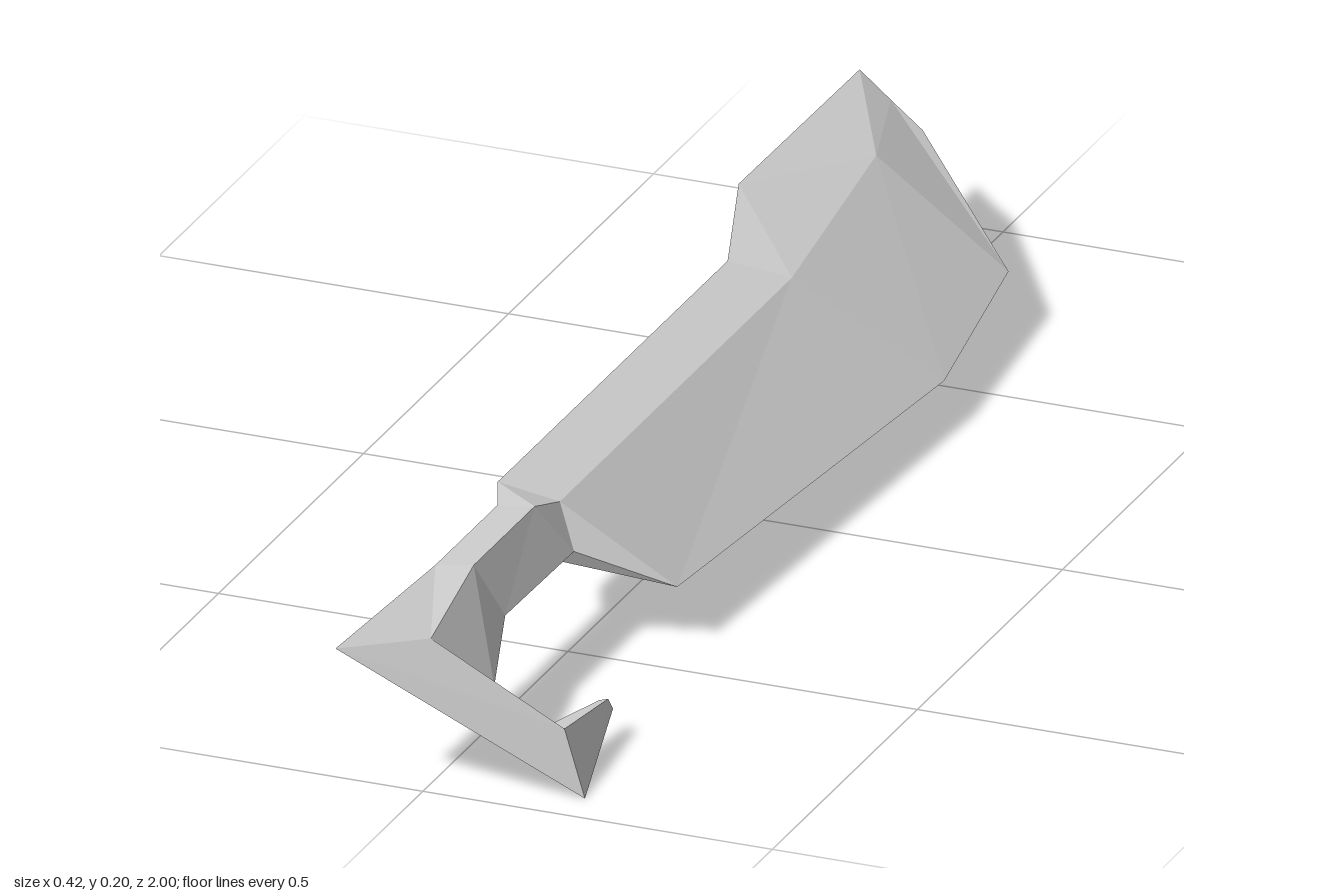
import * as THREE from 'three';

// Each section: spine-side edge, ridge centre, cutting-side edge, ridge half thickness [x, y]
const sections = [
  { outer: [-0.205, 0.2, -1], ridge: [-0.148, 0.178, -0.97], inner: [-0.09, 0.156, -0.94], half: [0, 0] },
  { outer: [-0.208, 0.2, -0.59], ridge: [-0.1, 0.16, -0.78], inner: [0.12, 0.072, -0.73], half: [0.01, 0.024] },
  { outer: [-0.145, 0.176, -0.4], ridge: [-0.063, 0.143, -0.4], inner: [0.165, 0.055, -0.4], half: [0.01, 0.024] },
  { outer: [-0.146, 0.176, 0.39], ridge: [-0.063, 0.143, 0.4], inner: [0.115, 0.072, 0.4], half: [0.01, 0.024] },
  { outer: [-0.115, 0.178, 0.465], ridge: [-0.07, 0.152, 0.47], inner: [-0.012, 0.122, 0.45], half: [0.01, 0.035] },
  { outer: [-0.115, 0.178, 0.68], ridge: [-0.07, 0.152, 0.68], inner: [-0.015, 0.122, 0.68], half: [0.01, 0.035] },
  { outer: [-0.125, 0.185, 1], ridge: [-0.04, 0.14, 0.9], inner: [0.04, 0.098, 0.85], half: [0.01, 0.035] },
  { outer: [0.207, 0, 0.94], ridge: [0.147, 0.036, 0.89], inner: [0.12, 0.056, 0.85], half: [0.01, 0.036] },
  { outer: [0.16, 0.037, 0.73], ridge: [0.15, 0.042, 0.73], inner: [0.14, 0.046, 0.73], half: [0.003, 0.008] },
];

// Diamond loop: outer edge, upper ridge, inner edge, lower ridge
function loopOf({ outer, ridge: [x, y, z], inner, half: [hx, hy] }) {
  return [outer, [x + hx, y + hy, z], inner, [x - hx, y - hy, z]];
}

// Skin a run of sections with flat facets, optionally closing the far end
function loft(name, from, to, capEnd = false) {
  const loops = sections.slice(from, to + 1).map(loopOf);
  const points = [];
  const quad = (a, b, c, d) => points.push(...a, ...b, ...c, ...a, ...c, ...d);
  for (let i = 0; i < loops.length - 1; i++) {
    for (let k = 0; k < 4; k++) {
      const n = (k + 1) % 4;
      quad(loops[i][k], loops[i + 1][k], loops[i + 1][n], loops[i][n]);
    }
  }
  if (capEnd) {
    const [a, b, c, d] = loops[loops.length - 1];
    quad(a, d, c, b);
  }
  const geometry = new THREE.BufferGeometry();
  geometry.setAttribute('position', new THREE.Float32BufferAttribute(points, 3));
  geometry.computeVertexNormals();
  const mesh = new THREE.Mesh(geometry, new THREE.MeshStandardMaterial({ color: 0xcccccc, flatShading: true }));
  mesh.name = name;
  return mesh;
}

export function createModel() {
  const group = new THREE.Group();
  group.name = 'machete';
  group.add(
    loft('blade', 0, 3),
    loft('bladeShoulder', 3, 4),
    loft('grip', 4, 6),
    loft('pommel', 6, 7),
    loft('pommelHook', 7, 8, true),
  );
  return group;
}
